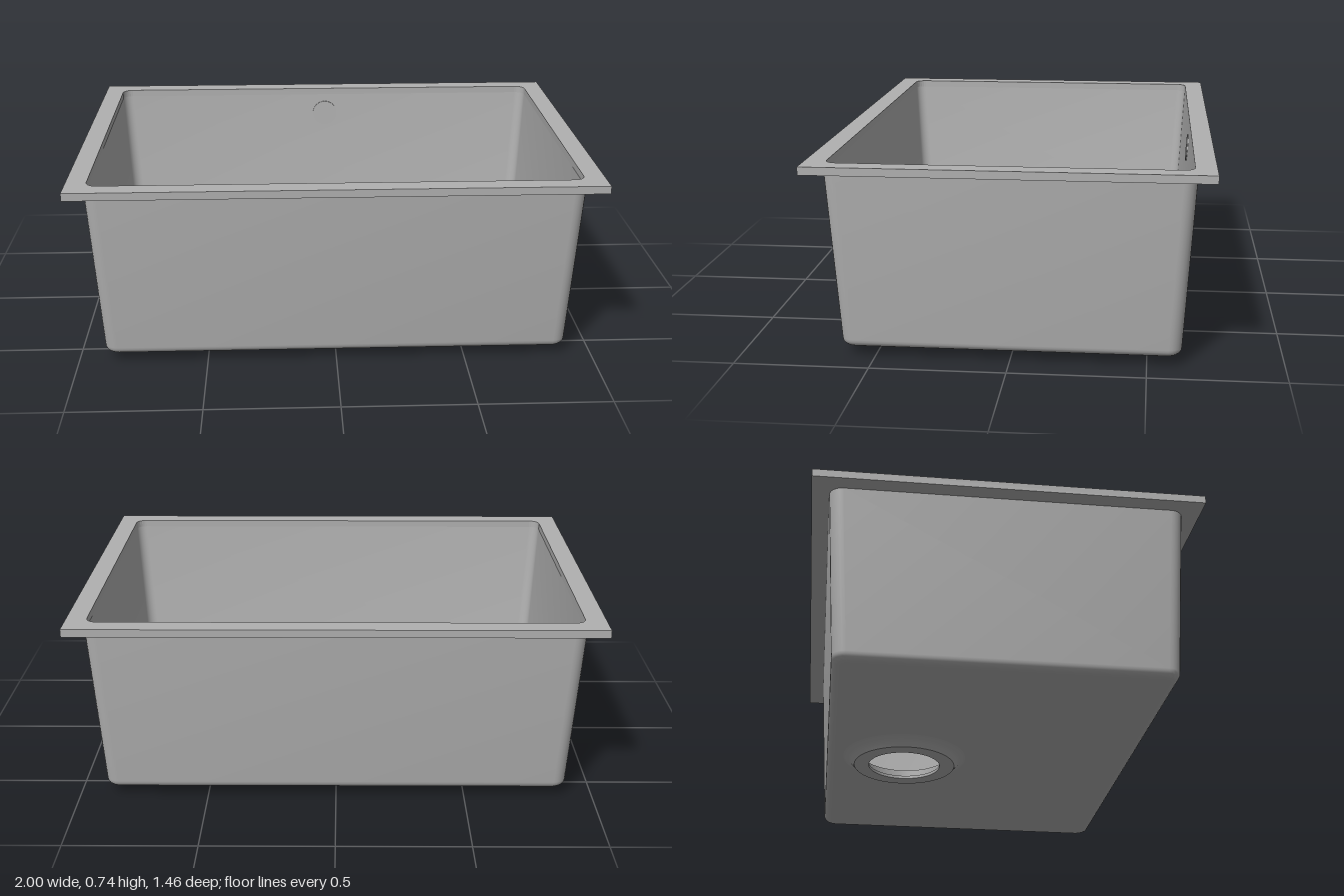
import * as THREE from 'three';
import { toCreasedNormals } from 'three/addons/utils/BufferGeometryUtils.js';

const DRAIN_Z = -0.31;

// Points of a rounded rectangle with half sizes hx, hz and corner radius r
function roundedRect(hx, hz, r, steps = 6) {
  const pts = [];
  const corners = [[1, 1], [-1, 1], [-1, -1], [1, -1]];
  corners.forEach(([sx, sz], c) => {
    for (let i = 0; i <= steps; i++) {
      const a = (c + i / steps) * Math.PI / 2;
      pts.push(new THREE.Vector2(sx * (hx - r) + r * Math.cos(a), sz * (hz - r) + r * Math.sin(a)));
    }
  });
  return pts;
}

// Skin over rounded-rectangle sections [y, hx, hz, r]; faces inward when listed upward
function loft(sections) {
  const pos = [], index = [];
  const rings = sections.map(([, hx, hz, r]) => roundedRect(hx, hz, r));
  const n = rings[0].length;
  rings.forEach((ring, j) => ring.forEach(p => pos.push(p.x, sections[j][0], p.y)));
  for (let j = 0; j < rings.length - 1; j++) {
    for (let i = 0; i < n; i++) {
      const a = j * n + i, b = j * n + (i + 1) % n;
      index.push(a, b, a + n, b, b + n, a + n);
    }
  }
  const geo = new THREE.BufferGeometry();
  geo.setAttribute('position', new THREE.Float32BufferAttribute(pos, 3));
  geo.setIndex(index);
  return toCreasedNormals(geo, 0.7);
}

// Wall sections from the filleted floor edge up to the rim
function bowlSections(floorY, fillet, base, top) {
  const list = [];
  for (let i = 0; i <= 5; i++) {
    const a = i / 5 * Math.PI / 2;
    const inset = fillet * (1 - Math.sin(a));
    list.push([floorY + fillet * (1 - Math.cos(a)), base[0] - inset, base[1] - inset, base[2] - inset * 0.6]);
  }
  list.push(top);
  return list;
}

// Flat rounded plate with a round hole for the drain
function floorPlate([y, hx, hz, r], holeRadius, up) {
  const shape = new THREE.Shape(roundedRect(hx, hz, r));
  const hole = new THREE.Path();
  hole.absarc(0, up ? -DRAIN_Z : DRAIN_Z, holeRadius, 0, Math.PI * 2, true);
  shape.holes.push(hole);
  const geo = new THREE.ShapeGeometry(shape, 24);
  geo.rotateX(up ? -Math.PI / 2 : Math.PI / 2);
  geo.translate(0, y, 0);
  return geo;
}

export function createModel() {
  const model = new THREE.Group();
  const steel = new THREE.MeshStandardMaterial({ color: 0xb0b0b0 });
  steel.name = 'brushed steel';

  const add = (name, geo) => {
    const mesh = new THREE.Mesh(geo, steel);
    mesh.name = name;
    model.add(mesh);
    return mesh;
  };

  // Flat rim with a rounded opening
  const rim = new THREE.Shape([[-1, -0.73], [1, -0.73], [1, 0.73], [-1, 0.73]].map(p => new THREE.Vector2(...p)));
  rim.holes.push(new THREE.Path(roundedRect(0.923, 0.653, 0.04).reverse()));
  const rimGeo = new THREE.ExtrudeGeometry(rim, { depth: 0.03, bevelEnabled: false });
  rimGeo.rotateX(-Math.PI / 2);
  rimGeo.translate(0, 0.71, 0);
  add('rim', rimGeo);

  // Inside and outside skins of the tapered bowl
  const inner = bowlSections(0.048, 0.03, [0.887, 0.617, 0.045], [0.712, 0.923, 0.653, 0.04]);
  const outer = bowlSections(0.036, 0.03, [0.897, 0.627, 0.05], [0.712, 0.935, 0.665, 0.05]);
  add('innerWalls', loft(inner));
  add('outerWalls', loft([...outer].reverse()));

  // Floor, above and below
  add('innerFloor', floorPlate(inner[0], 0.175, true));
  add('underside', floorPlate(outer[0], 0.245, false));

  // Drain: stepped recess inside, flared boss below
  const profile = [
    [0.175, 0.048], [0.175, 0.012], [0.145, 0.012], [0.145, 0],
    [0.205, 0], [0.216, 0.014], [0.228, 0.026], [0.25, 0.036],
  ].map(p => new THREE.Vector2(...p));
  const drain = add('drain', toCreasedNormals(new THREE.LatheGeometry(profile, 48), 0.7));
  drain.position.z = DRAIN_Z;

  // Overflow cover on the back wall
  const cover = new THREE.CylinderGeometry(0.055, 0.055, 0.008, 24);
  cover.rotateX(Math.PI / 2 - 0.056);
  add('overflowCover', cover).position.set(0, 0.625, -0.647);

  return model;
}
